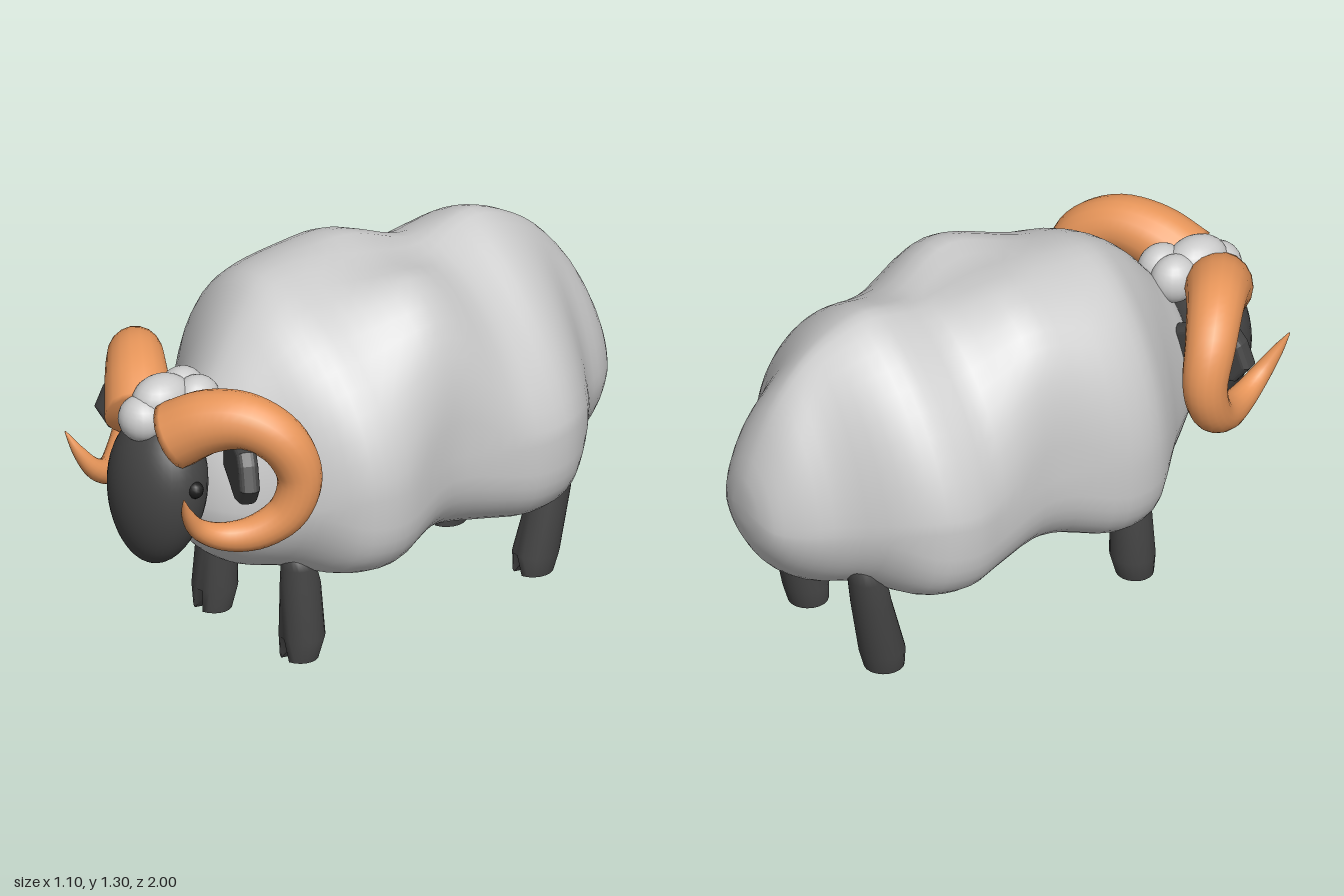
import * as THREE from 'three';

const grey = new THREE.MeshStandardMaterial({ color: 0xcccccc });
const dark = new THREE.MeshStandardMaterial({ color: 0x444444 });
const black = new THREE.MeshStandardMaterial({ color: 0x1c1c1c });
const orange = new THREE.MeshStandardMaterial({ color: 0xe8965a });

function add(parent, name, geometry, material) {
  const mesh = new THREE.Mesh(geometry, material);
  mesh.name = name;
  parent.add(mesh);
  return mesh;
}

// Smooth closed skin through rings of points, capped at both ends
function loft(rings) {
  const n = rings[0].length, last = rings.length - 1;
  const pos = [], idx = [];
  const push = (p) => pos.push(p.x, p.y, p.z);
  rings.forEach((ring) => ring.forEach(push));
  for (const ring of [rings[0], rings[last]]) {
    push(ring.reduce((s, p) => s.add(p), new THREE.Vector3()).divideScalar(n));
  }
  const c0 = rings.length * n;
  for (let j = 0; j < n; j++) {
    const k = (j + 1) % n;
    for (let i = 0; i < last; i++) {
      const a = i * n + j, b = i * n + k;
      idx.push(a, b, a + n, b, b + n, a + n);
    }
    idx.push(c0, k, j, c0 + 1, last * n + j, last * n + k);
  }
  const g = new THREE.BufferGeometry();
  g.setAttribute('position', new THREE.Float32BufferAttribute(pos, 3));
  g.setIndex(idx);
  g.computeVertexNormals();
  return g;
}

function makeRing(n, point) {
  return Array.from({ length: n }, (_, j) => point((j / n) * Math.PI * 2));
}

const bump = (v, centre, width) => Math.exp(-(((v - centre) / width) ** 2));

// Fleece: z, half width, bottom, top, sideways shift of the crown
function bodyGeometry() {
  const sections = [
    [-1.0, 0.06, 0.6, 0.73, 0], [-0.97, 0.15, 0.49, 0.84, 0],
    [-0.89, 0.23, 0.38, 1.01, 0], [-0.77, 0.31, 0.305, 1.155, 0],
    [-0.64, 0.46, 0.31, 1.245, -0.01], [-0.52, 0.54, 0.3, 1.285, -0.02],
    [-0.4, 0.55, 0.29, 1.265, -0.02], [-0.28, 0.52, 0.3, 1.25, 0],
    [-0.1, 0.49, 0.315, 1.3, 0], [0.03, 0.505, 0.32, 1.305, -0.02],
    [0.2, 0.55, 0.29, 1.29, -0.08], [0.33, 0.53, 0.295, 1.275, -0.08],
    [0.43, 0.45, 0.295, 1.22, -0.04], [0.52, 0.35, 0.3, 1.14, -0.02],
    [0.61, 0.26, 0.345, 1.03, 0], [0.7, 0.17, 0.43, 0.9, 0], [0.76, 0.06, 0.54, 0.75, 0],
  ];
  const side = new THREE.CatmullRomCurve3(sections.map((s) => new THREE.Vector3(s[0], s[1], 0)), false, 'catmullrom');
  const height = new THREE.CatmullRomCurve3(sections.map((s) => new THREE.Vector3(s[2], s[3], s[4])), false, 'catmullrom');
  const rings = [], steps = 48;
  for (let i = 0; i <= steps; i++) {
    const a = side.getPoint(i / steps), b = height.getPoint(i / steps);
    const mid = b.x + 0.38 * (b.y - b.x);
    // Boxy belly where the fleece is wide
    const belly = 1.1 - 0.5 * THREE.MathUtils.smoothstep(a.y, 0.38, 0.55);
    // Narrow ridge on the rump, broad double crown with a valley at mid-back
    const middle = bump(a.x, -0.08, 0.22);
    const ridge = 1.1 + 0.22 * THREE.MathUtils.smoothstep(-a.x, -0.2, 0.5)
      - 0.22 * THREE.MathUtils.smoothstep(-a.x, 0.75, 1);
    const crown = ridge - 0.42 * middle;
    rings.push(makeRing(48, (t) => {
      const c = Math.cos(t), s = Math.sin(t), e = s > 0 ? crown : belly;
      const x = Math.sign(c) * Math.abs(c) ** e * a.y + b.z * Math.max(0, s) ** 2;
      const y = Math.sign(s) * Math.abs(s) ** e * (s > 0 ? b.y - mid : mid - b.x);
      const dip = s > 0 ? 0.045 * middle * bump(x, 0.06, 0.1) : 0;
      return new THREE.Vector3(x, mid + y - dip, a.x);
    }));
  }
  return loft(rings);
}

// Curled horn, tapering to a point: x, y, z, radius
function hornGeometry() {
  const path = [
    [0.09, 0.915, 0.85, 0.118], [0.19, 0.985, 0.78, 0.11], [0.3, 1.005, 0.7, 0.097],
    [0.395, 0.94, 0.62, 0.087], [0.43, 0.81, 0.575, 0.077], [0.415, 0.685, 0.61, 0.07],
    [0.365, 0.615, 0.7, 0.061], [0.31, 0.605, 0.8, 0.049], [0.283, 0.65, 0.89, 0.036],
    [0.295, 0.73, 0.95, 0.021], [0.32, 0.805, 0.985, 0.003],
  ];
  const curve = new THREE.CatmullRomCurve3(path.map((p) => new THREE.Vector3(p[0], p[1], p[2])), false, 'catmullrom');
  const steps = 50, frames = curve.computeFrenetFrames(steps), rings = [];
  for (let i = 0; i <= steps; i++) {
    const u = i / steps, f = curve.getUtoTmapping(u) * (path.length - 1);
    const k = Math.min(Math.floor(f), path.length - 2);
    const r = THREE.MathUtils.lerp(path[k][3], path[k + 1][3], f - k);
    const p = curve.getPointAt(u);
    rings.push(makeRing(18, (t) => p.clone()
      .addScaledVector(frames.normals[i], Math.cos(t) * r)
      .addScaledVector(frames.binormals[i], Math.sin(t) * r)));
  }
  return loft(rings);
}

// Leg from top to hoof: x, y, z, x radius, z radius
function legGeometry(rows) {
  const rings = rows.map(([x, y, z, rx, rz]) => makeRing(20, (t) =>
    new THREE.Vector3(x + Math.cos(t) * rx, y, z + Math.sin(t) * rz)));
  // Cleft at the front of the hoof
  const toe = rings[rings.length - 1][5];
  toe.y += 0.05;
  toe.z -= 0.045;
  rings.push(rings[rings.length - 1].map((p) => p.clone()));
  return loft(rings);
}

// Thick, rounded ear
function earGeometry() {
  const outline = [[0, -0.06], [0.18, -0.1], [0.235, -0.085], [0.285, -0.02], [0.255, 0.06], [0.225, 0.095], [0.13, 0.1], [0, 0.04]];
  const shape = new THREE.Shape(outline.map((p) => new THREE.Vector2(p[0], p[1])));
  return new THREE.ExtrudeGeometry(shape, {
    depth: 0.02, bevelThickness: 0.025, bevelSize: 0.02, bevelOffset: -0.014, bevelSegments: 4,
  });
}

// Egg-shaped head, narrower at the muzzle
function headGeometry() {
  const g = new THREE.SphereGeometry(1, 36, 24), p = g.attributes.position;
  for (let i = 0; i < p.count; i++) {
    const y = p.getY(i), w = 1 + 0.1 * y;
    p.setXYZ(i, p.getX(i) * 0.193 * w, 0.68 + y * 0.27, 0.845 - 0.02 * y + p.getZ(i) * 0.153 * w);
  }
  g.computeVertexNormals();
  return g;
}

export function createModel() {
  const model = new THREE.Group();
  model.name = 'ram';
  add(model, 'fleece', bodyGeometry(), grey);
  add(model, 'head', headGeometry(), dark);

  // Wool tuft on the forehead
  const tuft = new THREE.Group();
  tuft.name = 'woolTuft';
  model.add(tuft);
  const lobes = [
    [-0.02, 0.95, 0.895, 0.083, 0.08, 0.08], [-0.02, 1.0, 0.81, 0.085, 0.082, 0.11],
    [-0.05, 0.98, 0.7, 0.075, 0.085, 0.085], [0.03, 0.98, 0.7, 0.075, 0.085, 0.085],
  ];
  for (const [x, y, z, rx, ry, rz] of lobes) {
    const lobe = add(tuft, 'tuftLobe', new THREE.SphereGeometry(1, 20, 14), grey);
    lobe.position.set(x, y, z);
    lobe.scale.set(rx, ry, rz);
  }

  const horn = hornGeometry(), ear = earGeometry();
  const frontLeg = legGeometry([
    [0.23, 0.387, 0.43, 0.02, 0.02], [0.23, 0.375, 0.43, 0.047, 0.042], [0.228, 0.34, 0.42, 0.06, 0.06],
    [0.226, 0.27, 0.41, 0.068, 0.07], [0.235, 0.08, 0.41, 0.082, 0.077], [0.233, 0, 0.42, 0.068, 0.064],
  ]);
  const hindLeg = legGeometry([
    [0.25, 0.458, -0.695, 0.025, 0.022], [0.25, 0.442, -0.685, 0.05, 0.048], [0.25, 0.39, -0.665, 0.066, 0.066],
    [0.245, 0.28, -0.645, 0.07, 0.07], [0.235, 0.07, -0.595, 0.08, 0.08], [0.233, 0, -0.585, 0.068, 0.07],
  ]);

  // Paired parts, mirrored across the middle
  for (const [side, sign] of [['left', 1], ['right', -1]]) {
    const half = new THREE.Group();
    half.name = side + 'Side';
    half.scale.x = sign;
    model.add(half);
    add(half, side + 'Horn', horn, orange);
    add(half, side + 'FrontLeg', frontLeg, dark);
    add(half, side + 'HindLeg', hindLeg, dark);
    const earMesh = add(half, side + 'Ear', ear, dark);
    earMesh.position.set(0.16, 0.825, 0.635);
    earMesh.rotation.y = -0.46;
    const eye = add(half, side + 'Eye', new THREE.SphereGeometry(0.03, 12, 8), black);
    eye.position.set(0.185, 0.74, 0.83);
  }
  return model;
}
